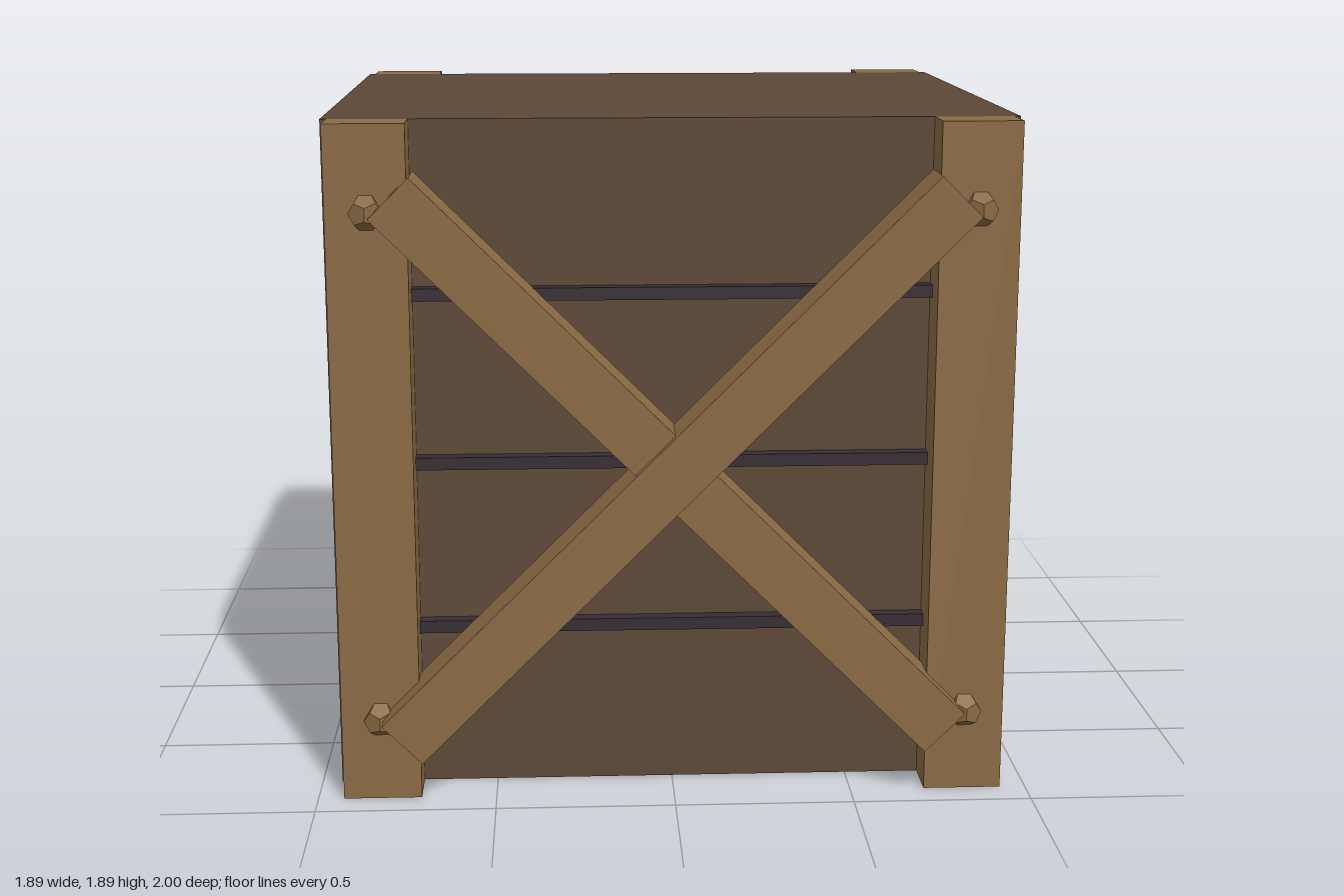
import * as THREE from 'three';

function material(name, color) {
  const m = new THREE.MeshStandardMaterial({ color });
  m.name = name;
  return m;
}

export function createModel() {
  const crate = new THREE.Group();
  crate.name = 'crate';
  const darkWood = material('darkWood', 0x5d4736);
  const lightWood = material('lightWood', 0x8b6b44);
  const seam = material('seam', 0x352d32);
  const H = 1.89, mid = H / 2, face = 0.787;

  const add = (parent, name, geometry, mat, x, y, z) => {
    const mesh = new THREE.Mesh(geometry, mat);
    mesh.name = name;
    mesh.position.set(x, y, z);
    parent.add(mesh);
    return mesh;
  };

  // Solid body
  add(crate, 'body', new THREE.BoxGeometry(1.89, H, face * 2), darkWood, 0, mid, 0);

  const postGeo = new THREE.BoxGeometry(0.218, H, 0.126);
  const slatGeo = new THREE.BoxGeometry(1.42, 0.035, 0.039);
  const braceGeo = new THREE.BoxGeometry(2.135, 0.155, 0.155);
  // Faceted bolt heads
  const boltGeo = new THREE.DodecahedronGeometry(0.05);

  // Front and back frames mirror each other in z
  for (const s of [1, -1]) {
    const frame = new THREE.Group();
    frame.name = s > 0 ? 'frontFrame' : 'backFrame';
    crate.add(frame);

    // Corner posts with a bolt near each end
    for (const side of [1, -1]) {
      add(frame, 'post', postGeo, lightWood, side * 0.819, mid, s * (face + 0.063));
      for (const v of [1, -1]) {
        add(frame, 'bolt', boltGeo, lightWood, side * 0.818, mid + v * 0.71, s * 0.912);
      }
    }

    // Dark strips between the planks
    for (let i = 1; i <= 3; i++) {
      add(frame, 'seamStrip', slatGeo, seam, 0, (H * i) / 4, s * (face + 0.0195));
    }

    // Crossed braces, the rising one set slightly further out
    add(frame, 'outerBrace', braceGeo, lightWood, 0, mid, s * 0.9225).rotation.z = Math.PI / 4;
    add(frame, 'innerBrace', braceGeo, lightWood, 0, mid, s * 0.8975).rotation.z = -Math.PI / 4;
  }
  return crate;
}
